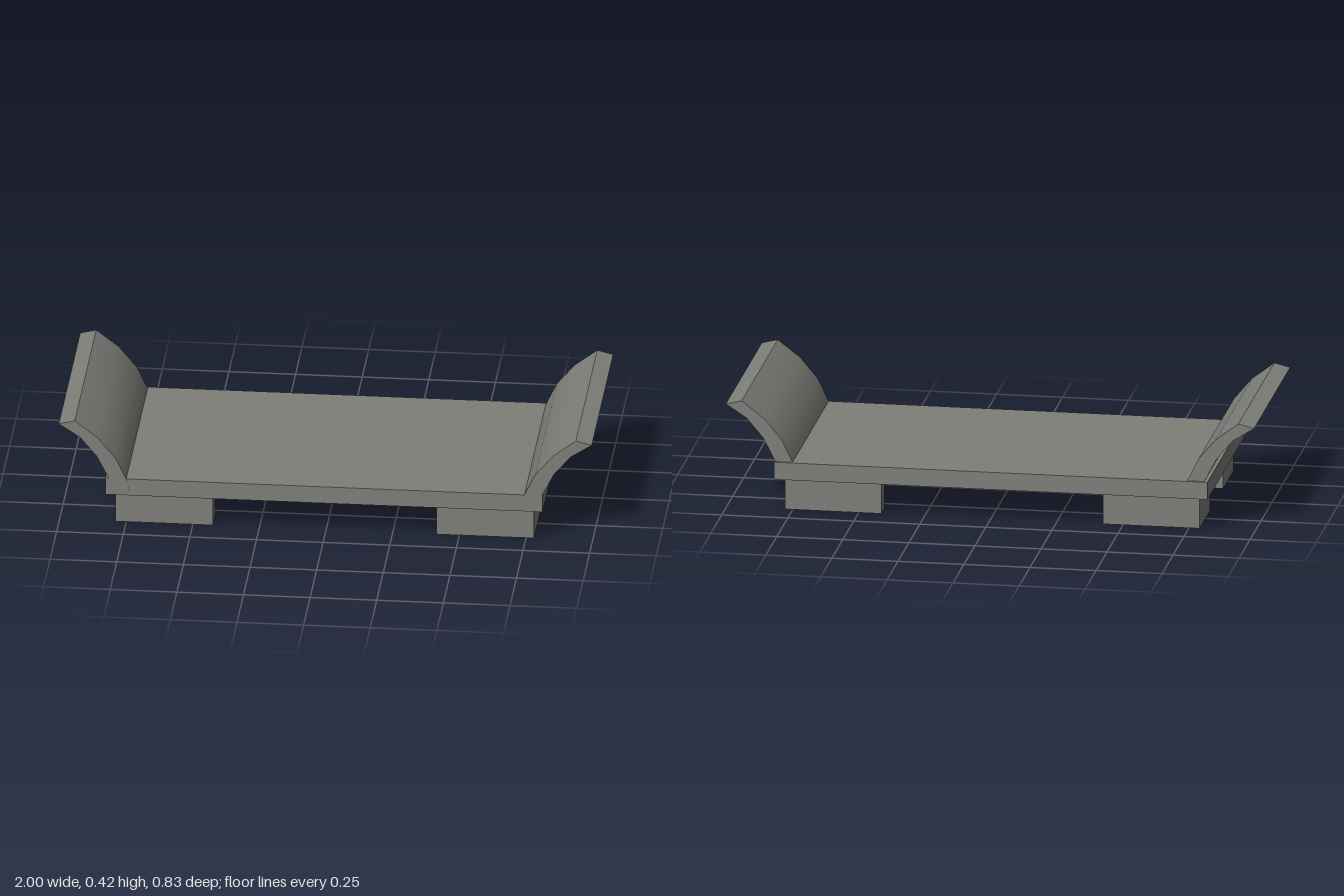
import * as THREE from 'three';
import { toCreasedNormals } from 'three/addons/utils/BufferGeometryUtils.js';

export function createModel() {
  const model = new THREE.Group();
  model.name = 'daybed';
  const stone = new THREE.MeshStandardMaterial({ color: 0x7f7f7a });
  stone.name = 'warm grey';

  const add = (name, geometry, x = 0, y = 0, z = 0) => {
    const mesh = new THREE.Mesh(geometry, stone);
    mesh.name = name;
    mesh.position.set(x, y, z);
    model.add(mesh);
  };
  const shapeOf = (points) => new THREE.Shape(points.map(([x, y]) => new THREE.Vector2(x, y)));

  // Flat bed slab
  add('bedSlab', new THREE.BoxGeometry(1.64, 0.067, 0.834), -0.005, 0.1565, 0);

  // Curved end rests, sunk into the slab: inner edge upwards, then outer edge back down
  const profile = [
    [0.734, 0.13], [0.747, 0.19], [0.788, 0.275], [0.855, 0.355], [0.94, 0.42],
    [1, 0.405], [0.92, 0.353], [0.858, 0.279], [0.812, 0.19], [0.797, 0.13],
  ];
  for (const side of [1, -1]) {
    const rest = new THREE.ExtrudeGeometry(shapeOf(profile.map(([x, y]) => [x * side, y])),
      { depth: 0.825, bevelEnabled: false });
    add(side > 0 ? 'leftEndRest' : 'rightEndRest', toCreasedNormals(rest, 0.7), 0, 0, -0.407);
  }

  // L-shaped corner feet, the long arm running along the bed
  const t = 0.075;
  for (const sx of [1, -1]) {
    for (const sz of [1, -1]) {
      const foot = shapeOf([
        [0.42, 0.385], [0.785, 0.385], [0.785, 0.152],
        [0.785 - t, 0.152], [0.785 - t, 0.385 - t], [0.42, 0.385 - t],
      ].map(([x, z]) => [x * sx, z * sz]));
      const geometry = new THREE.ExtrudeGeometry(foot, { depth: 0.123, bevelEnabled: false });
      geometry.rotateX(-Math.PI / 2);
      add((sz < 0 ? 'front' : 'back') + (sx > 0 ? 'Left' : 'Right') + 'Foot', geometry, -0.005);
    }
  }
  return model;
}
